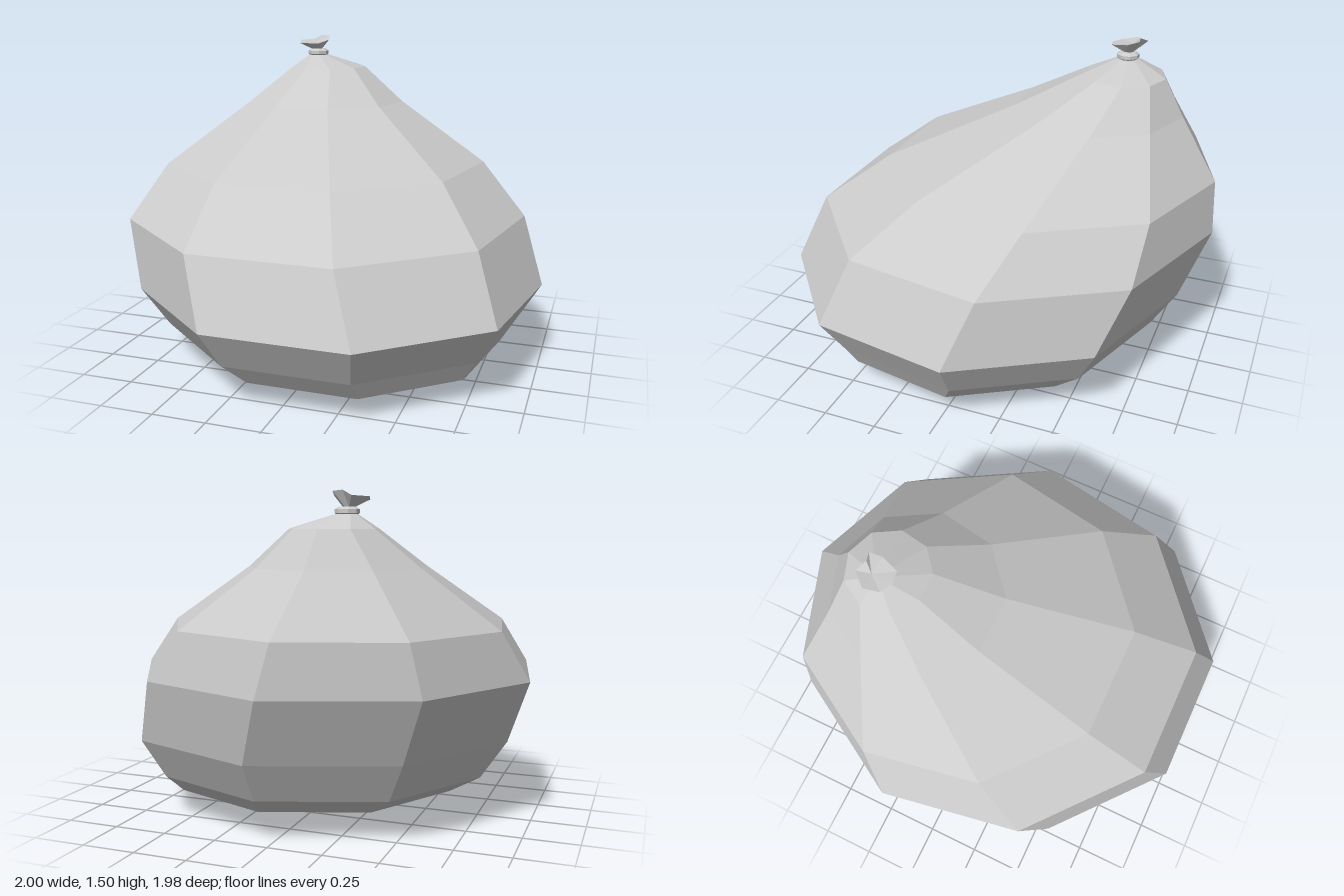
import * as THREE from 'three';

const material = new THREE.MeshStandardMaterial({ color: 0xcccccc, flatShading: true });

// Skin a stack of closed rings (listed bottom to top, points running from +z toward +x)
function loft(name, rings, capStart, capEnd) {
  const pos = [];
  const tri = (a, b, c) => [a, b, c].forEach((p) => pos.push(...p));
  const n = rings[0].length;
  for (let k = 0; k < n; k++) {
    const j = (k + 1) % n;
    for (let i = 0; i < rings.length - 1; i++) {
      const lo = rings[i], hi = rings[i + 1];
      tri(lo[k], lo[j], hi[j]);
      tri(lo[k], hi[j], hi[k]);
    }
    if (capStart) tri(capStart, rings[0][j], rings[0][k]);
    if (capEnd) tri(capEnd, rings.at(-1)[k], rings.at(-1)[j]);
  }
  const geometry = new THREE.BufferGeometry();
  geometry.setAttribute('position', new THREE.Float32BufferAttribute(pos, 3));
  geometry.computeVertexNormals();
  const mesh = new THREE.Mesh(geometry, material);
  mesh.name = name;
  return mesh;
}

// Regular horizontal polygon; a half-step offset puts a flat edge at the front
function ring(cx, y, cz, r, sides) {
  return Array.from({ length: sides }, (_, k) => {
    const a = ((k + 0.5) / sides) * Math.PI * 2;
    return [cx + r * Math.sin(a), y, cz + r * Math.cos(a)];
  });
}

export function createModel() {
  const model = new THREE.Group();
  model.name = 'waterBalloon';

  // Sagging body: nine-sided rings [x, y, z, radius] that lean back and to one side
  const body = [
    [0.08, 0.004, 0.08, 0.22],
    [0.10, 0.105, 0.11, 0.73],
    [0.055, 0.2, 0.08, 0.84],
    [0.05, 0.385, 0.085, 0.96],
    [-0.06, 0.685, -0.03, 0.96],
    [-0.12, 0.915, -0.18, 0.79],
    [-0.19, 1.18, -0.385, 0.4],
    [-0.21, 1.345, -0.495, 0.195],
    [-0.265, 1.405, -0.495, 0.05],
  ].map(([x, y, z, r]) => ring(x, y, z, r, 9));
  model.add(loft('body', body, [0.08, 0, 0.08], [-0.265, 1.405, -0.495]));

  // Rolled knot around the neck
  const knot = [[1.4, 0.042], [1.41, 0.053], [1.426, 0.053], [1.437, 0.036]]
    .map(([y, r]) => ring(-0.268, y, -0.493, r, 8));
  model.add(loft('knot', knot, [-0.268, 1.4, -0.493], [-0.268, 1.437, -0.493]));

  // Crumpled flared mouth with an uneven rim and a dip in the middle
  const rim = [
    [-0.29, 1.468, -0.41], [-0.24, 1.468, -0.42], [-0.212, 1.482, -0.5], [-0.225, 1.5, -0.555],
    [-0.265, 1.505, -0.545], [-0.315, 1.482, -0.573], [-0.372, 1.478, -0.51], [-0.352, 1.466, -0.44],
  ];
  const stem = ring(-0.275, 1.434, -0.493, 0.024, 8);
  model.add(loft('mouth', [stem, rim], null, [-0.295, 1.468, -0.51]));

  return model;
}
